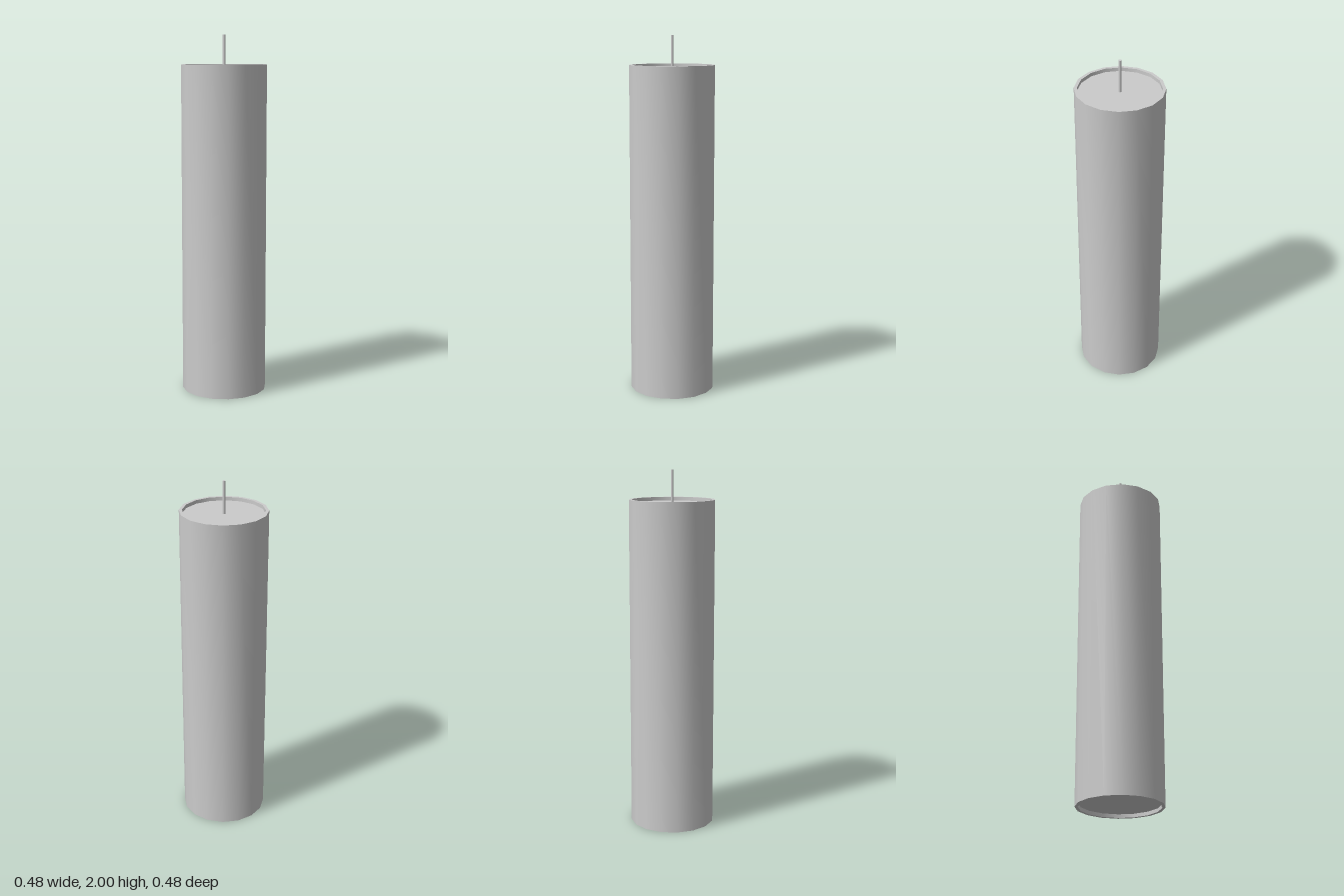
import * as THREE from 'three';
import { toCreasedNormals } from 'three/addons/utils/BufferGeometryUtils.js';

const SIDES = 16;
const OUTER = 0.238, INNER = 0.221;   // radii of the shell
const HEIGHT = 1.84, RECESS = 0.02;   // shell height, inset of the wax at both ends
const WICK = 0.008;

export function createModel() {
  const group = new THREE.Group();
  const material = new THREE.MeshStandardMaterial({ color: 0xcccccc });

  const add = (name, geometry, y = 0) => {
    const mesh = new THREE.Mesh(geometry, material);
    mesh.name = name;
    mesh.position.y = y;
    group.add(mesh);
  };

  // Thin tube around the candle, with flat rims at both ends
  const profile = [
    [INNER, 0], [OUTER, 0], [OUTER, HEIGHT], [INNER, HEIGHT], [INNER, 0],
  ].map(([r, y]) => new THREE.Vector2(r, y));
  add('shell', toCreasedNormals(new THREE.LatheGeometry(profile, SIDES), 0.7));

  // Wax core, set slightly inside the tube
  add('wax', new THREE.CylinderGeometry(INNER, INNER, HEIGHT - 2 * RECESS, SIDES), HEIGHT / 2);

  // Wick standing on the wax
  const base = HEIGHT - RECESS;
  add('wick', new THREE.CylinderGeometry(WICK, WICK, 2 - base, SIDES), (2 + base) / 2);

  return group;
}
